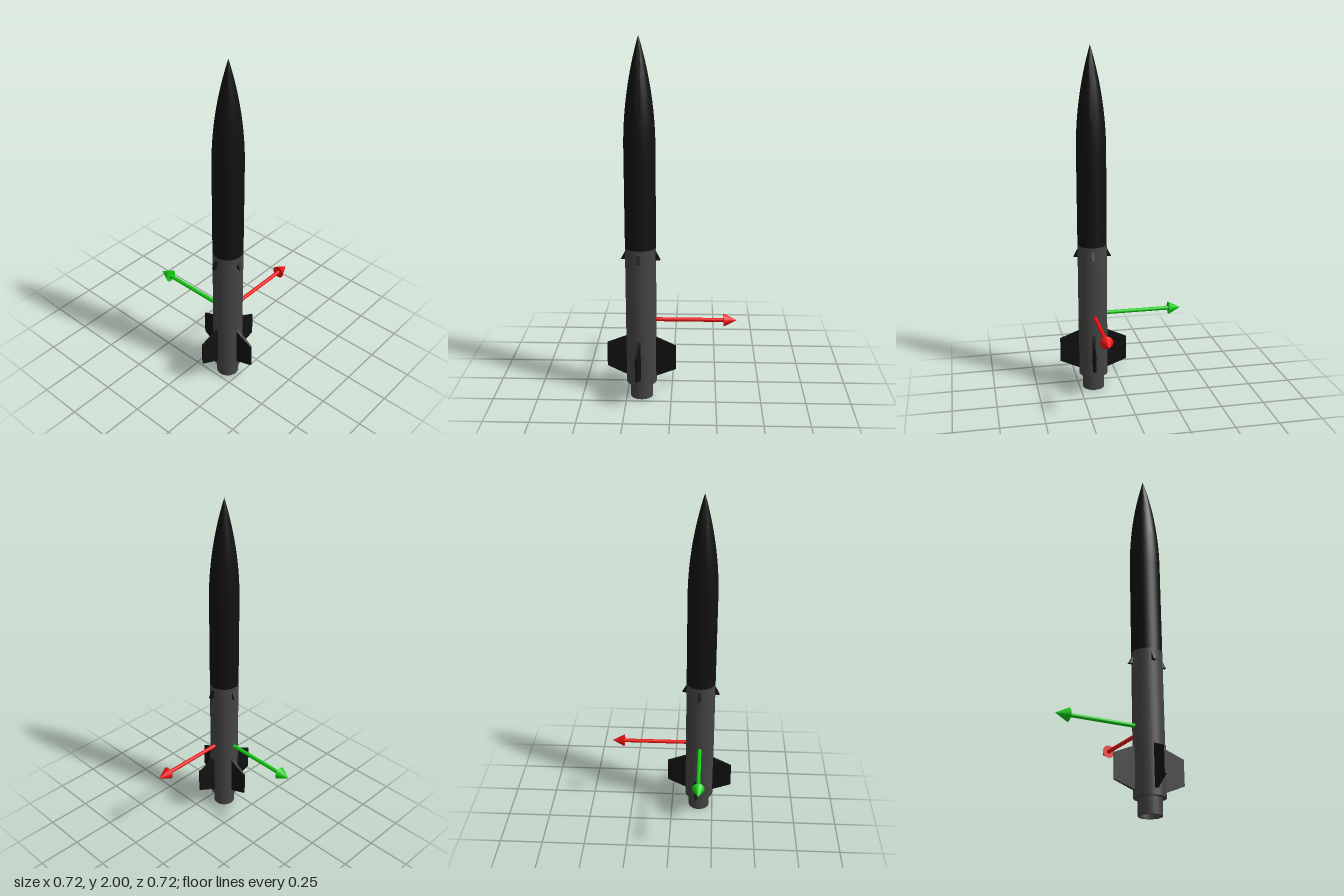
import * as THREE from 'three';
import { toCreasedNormals } from 'three/addons/utils/BufferGeometryUtils.js';

const RADIUS = 0.084;
const mat = (color) => new THREE.MeshStandardMaterial({ color });
const v2 = (list) => list.map(([x, y]) => new THREE.Vector2(x, y));

function add(parent, name, geometry, material) {
  const mesh = new THREE.Mesh(geometry, material);
  mesh.name = name;
  parent.add(mesh);
  return mesh;
}

// Surface of revolution with sharp edges kept
function turned(points) {
  return toCreasedNormals(new THREE.LatheGeometry(v2(points), 48), 0.6);
}

// Upright plate: outline in (radius, height), thickness tapering from root to tip
function plate(outline, rootThickness, tipThickness) {
  const geo = new THREE.ExtrudeGeometry(new THREE.Shape(v2(outline)), { depth: 1, bevelEnabled: false });
  const xs = outline.map((p) => p[0]);
  const lo = Math.min(...xs), hi = Math.max(...xs);
  const pos = geo.attributes.position;
  for (let i = 0; i < pos.count; i++) {
    const t = (pos.getX(i) - lo) / (hi - lo);
    pos.setZ(i, (pos.getZ(i) - 0.5) * THREE.MathUtils.lerp(rootThickness, tipThickness, t));
  }
  geo.computeVertexNormals();
  return geo;
}

// Arrow pointing along +y: thin shaft plus cone head
function arrow(name, color) {
  const group = new THREE.Group();
  group.name = name;
  const material = mat(color);
  add(group, name + 'Shaft', new THREE.CylinderGeometry(0.011, 0.011, 0.46, 24), material).position.y = 0.23;
  add(group, name + 'Head', new THREE.ConeGeometry(0.036, 0.072, 24), material).position.y = 0.491;
  return group;
}

export function createModel() {
  const model = new THREE.Group();
  const rocket = new THREE.Group();
  rocket.name = 'rocket';
  rocket.position.set(-0.167, 0, 0.167);
  model.add(rocket);

  const black = mat(0x111111);
  const grey = mat(0x444444);

  // Motor section with a hollow nozzle at the bottom
  add(rocket, 'motorBody', turned([
    [0, 0.1], [0.052, 0.1], [0.052, 0], [0.063, 0], [0.063, 0.09], [RADIUS, 0.09], [RADIUS, 0.88],
  ]), grey);

  // Straight upper tube running into a curved (tangent ogive) nose
  const start = 1.42, length = 0.58;
  const rho = (RADIUS ** 2 + length ** 2) / (2 * RADIUS);
  const profile = [[0, 0.88], [RADIUS, 0.88]];
  for (let i = 0; i <= 24; i++) {
    const d = (length * i) / 24;
    profile.push([Math.max(0, Math.sqrt(rho * rho - d * d) + RADIUS - rho), start + d]);
  }
  add(rocket, 'noseSection', turned(profile), black);

  // Four tail fins and four small wedge lugs, turned slightly off the axes
  const finGeo = plate([[0.07, 0.125], [RADIUS, 0.125], [0.194, 0.17], [0.194, 0.31], [RADIUS, 0.355], [0.07, 0.355]], 0.019, 0.01);
  const lugGeo = plate([[0.075, 0.81], [0.108, 0.81], [RADIUS, 0.855], [0.075, 0.855]], 0.018, 0.018);
  for (let i = 0; i < 4; i++) {
    const angle = (i * Math.PI) / 2 - 0.1;
    add(rocket, 'tailFin', finGeo, black).rotation.y = angle;
    add(rocket, 'lug', lugGeo, black).rotation.y = angle;
  }

  // Direction arrows out of the body
  const sideArrow = arrow('sideArrow', 0xee1111);
  sideArrow.rotation.z = -Math.PI / 2;
  const backArrow = arrow('backArrow', 0x11cc11);
  backArrow.rotation.x = -Math.PI / 2;
  for (const a of [sideArrow, backArrow]) {
    a.position.y = 0.46;
    rocket.add(a);
  }
  return model;
}
